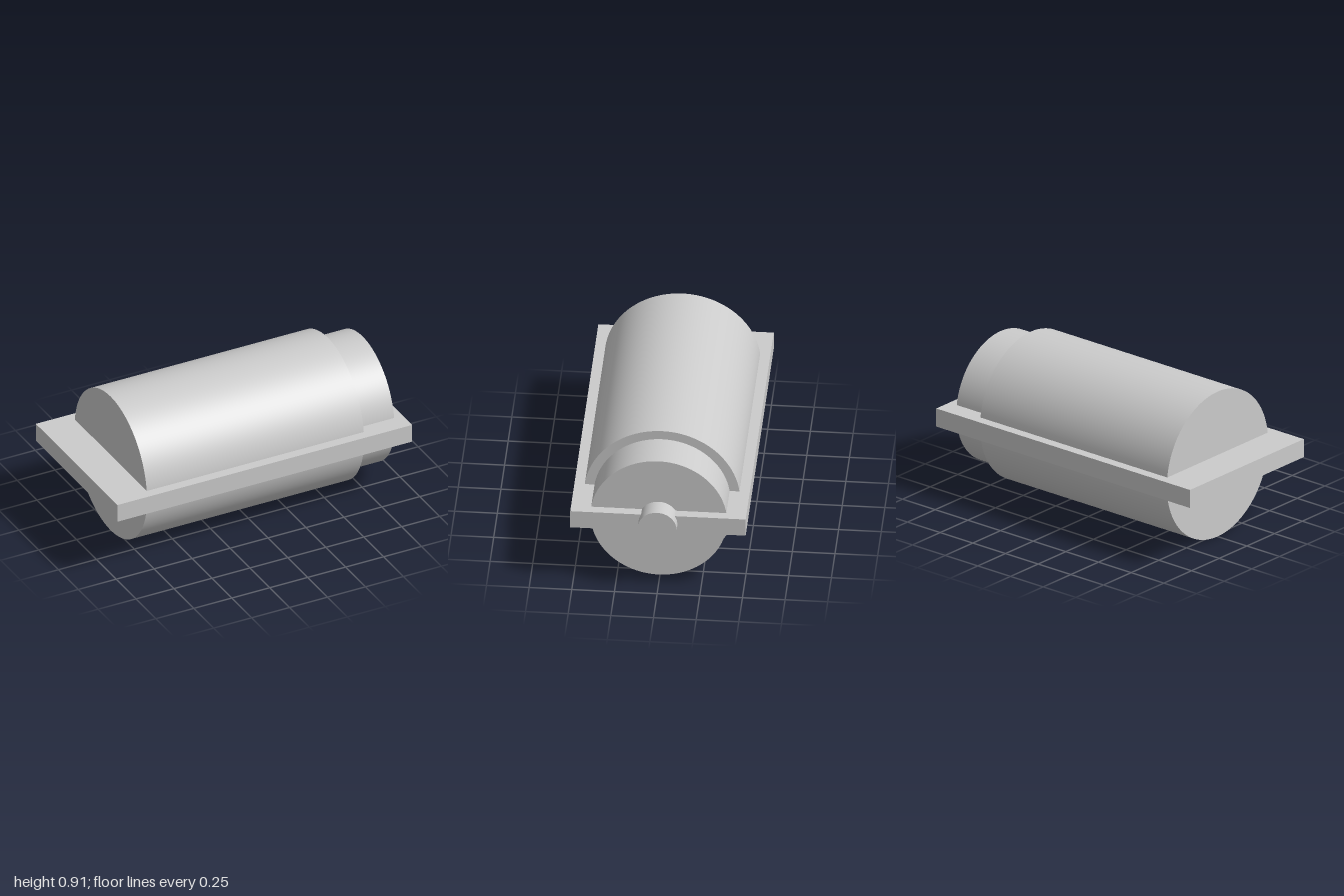
import * as THREE from 'three';

const AXIS_Y = 0.457;

export function createModel() {
  const group = new THREE.Group();
  const material = new THREE.MeshStandardMaterial({ color: 0xcccccc });

  const add = (name, geometry, x) => {
    const mesh = new THREE.Mesh(geometry, material);
    mesh.name = name;
    mesh.position.set(x, AXIS_Y, 0);
    group.add(mesh);
  };

  // Cylinder lying along x between two ends
  const addDrum = (name, radius, x0, x1) => {
    const geometry = new THREE.CylinderGeometry(radius, radius, x1 - x0, 128);
    geometry.rotateZ(-Math.PI / 2);
    add(name, geometry, (x0 + x1) / 2);
  };

  // Stepped body: main drum, smaller collar, end shaft
  addDrum('body', 0.457, -0.775, 0.655);
  addDrum('collar', 0.4, 0.655, 0.885);
  addDrum('shaft', 0.114, 0.885, 1);

  // Flat mounting plate through the axis
  add('plate', new THREE.BoxGeometry(1.942, 0.114, 1.028), -0.029);

  return group;
}
